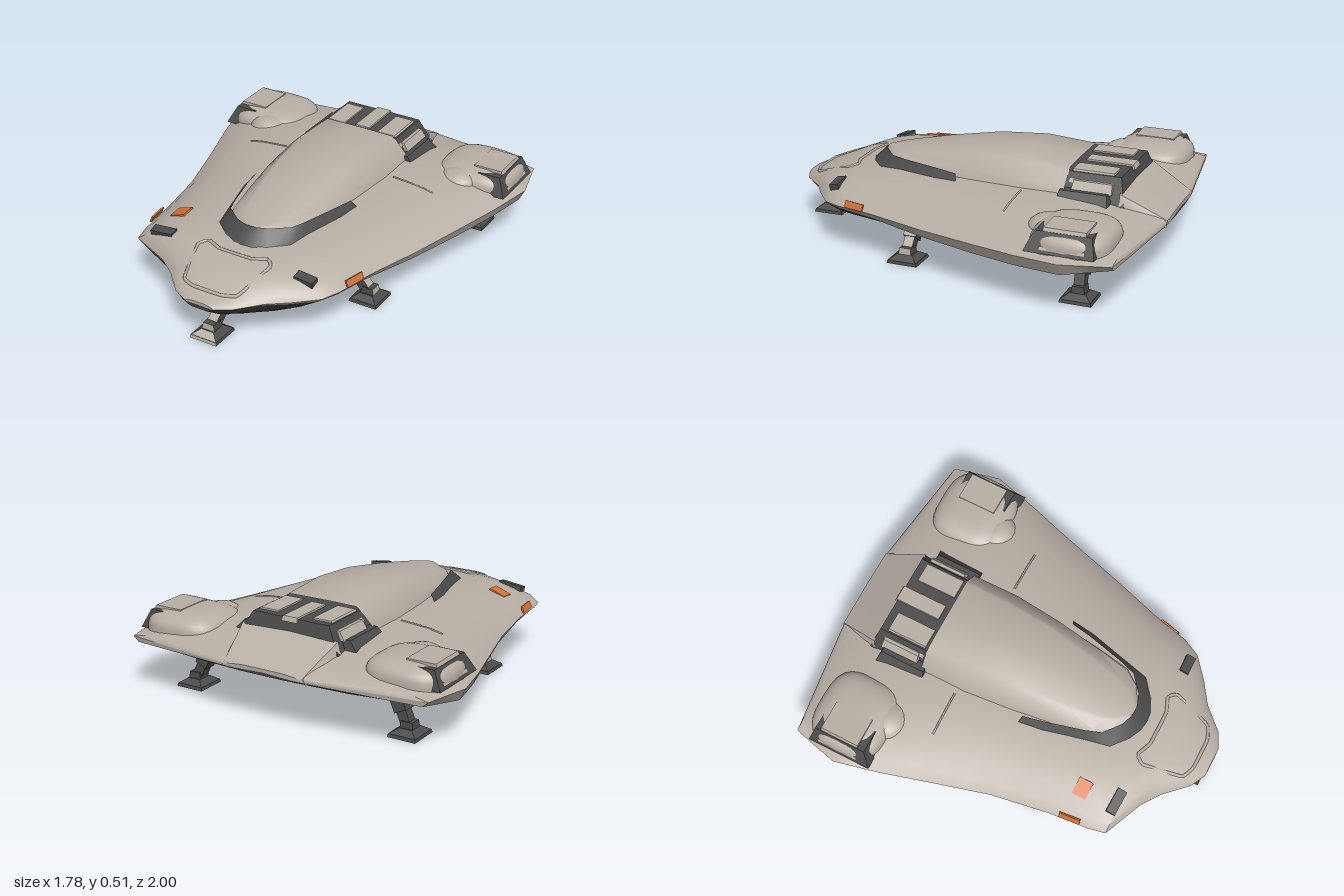
import * as THREE from 'three';
import { toCreasedNormals } from 'three/addons/utils/BufferGeometryUtils.js';

const mat = (name, color) => Object.assign(new THREE.MeshStandardMaterial({ color }), { name });
const lerp = THREE.MathUtils.lerp;

// Hull stations: z, half width +x, half width -x, belt y, deck y, keel y
const STATIONS = [
  [1.0, .08, .08, .22, .235, .2], [.96, .16, .16, .225, .25, .175], [.85, .265, .27, .23, .295, .132],
  [.78, .37, .37, .235, .32, .125], [.69, .48, .58, .24, .338, .122], [.6, .525, .6, .245, .356, .12],
  [.4, .575, .62, .25, .372, .112], [.1, .67, .67, .25, .38, .1], [-.2, .755, .755, .255, .385, .108],
  [-.45, .83, .83, .265, .385, .13], [-.68, .888, .888, .278, .37, .16], [-.82, .855, .855, .28, .345, .205],
  [-.92, .83, .83, .28, .32, .235], [-1.0, .22, .22, .28, .297, .265],
];
// Deck camber and belly depth across the half width
const CAMBER = [[0, 1], [.4, .98], [.6, .88], [.78, .65], [.92, .36], [1, 0]];
const BELLY = [[0, 1], [.5, 1], [.75, .7]];
const RIM = .965;

function sample(table, t) {
  const up = table[1][0] > table[0][0];
  for (let i = 0; i < table.length - 1; i++) {
    const a = table[i], b = table[i + 1];
    if (up ? t <= b[0] : t >= b[0]) {
      const k = THREE.MathUtils.clamp((t - a[0]) / (b[0] - a[0]), 0, 1);
      return a.map((v, j) => lerp(v, b[j], k));
    }
  }
  return table[table.length - 1];
}

function deckY(x, z) {
  const s = sample(STATIONS, z);
  return lerp(s[3], s[4], sample(CAMBER, Math.abs(x) / (x > 0 ? s[1] : s[2]))[1]);
}

// Skin through rows of points; rows run front to back, points from +x to -x
function loft(rows, crease = .6) {
  const pos = [], idx = [], n = rows[0].length;
  rows.forEach(r => r.forEach(p => pos.push(...p)));
  for (let i = 0; i < rows.length - 1; i++) for (let j = 0; j < n - 1; j++) {
    const a = i * n + j, b = a + 1, c = a + n, d = c + 1;
    idx.push(a, c, b, b, c, d);
  }
  const g = new THREE.BufferGeometry();
  g.setAttribute('position', new THREE.Float32BufferAttribute(pos, 3));
  g.setIndex(idx);
  g.computeVertexNormals();
  return toCreasedNormals(g, crease);
}

// Close both hull ends by gathering them to the belt line
function capped(rows) {
  const gather = r => r.map(() => [0, sample(STATIONS, r[0][2])[3], r[0][2]]);
  return [gather(rows[0]), ...rows, gather(rows[rows.length - 1])];
}

// Box with separate bottom and top rectangles: [x0, x1, z0, z1, y]
function frustum(bottom, top) {
  const g = new THREE.BoxGeometry(1, 1, 1), p = g.attributes.position;
  for (let i = 0; i < p.count; i++) {
    const r = p.getY(i) > 0 ? top : bottom;
    p.setXYZ(i, p.getX(i) > 0 ? r[1] : r[0], r[4], p.getZ(i) > 0 ? r[3] : r[2]);
  }
  g.computeVertexNormals();
  return g;
}
const flip = (r, s) => s > 0 ? r : [-r[1], -r[0], r[2], r[3], r[4]];

// Sphere pushed towards a rounded box
function dome(rx, ry, rz) {
  const g = new THREE.SphereGeometry(1, 32, 20), p = g.attributes.position;
  const push = v => Math.sign(v) * Math.abs(v) ** .65;
  for (let i = 0; i < p.count; i++) p.setXYZ(i, push(p.getX(i)) * rx, push(p.getY(i)) * ry, push(p.getZ(i)) * rz);
  g.computeVertexNormals();
  return g;
}

export function createModel() {
  const light = mat('hull paint', 0xb8afa5), under = mat('underside', 0x404041);
  const dark = mat('dark trim', 0x4b4b4c), orange = mat('orange marker', 0xd4723b);
  const group = new THREE.Group();
  const add = (name, geo, m, parent = group) => {
    const mesh = new THREE.Mesh(geo, m);
    mesh.name = name;
    parent.add(mesh);
    return mesh;
  };

  // Hull: deck, edge rims and dark belly
  const zs = [];
  STATIONS.forEach((s, i) => {
    zs.push(s[0]);
    const next = STATIONS[i + 1];
    if (next && s[0] - next[0] > .12) zs.push((s[0] + next[0]) / 2);
  });
  const us = CAMBER.map(c => c[0]);
  const across = [...us.slice().reverse(), ...us.slice(1).map(u => -u)];
  const deck = (s, u) => lerp(s[3], s[4], sample(CAMBER, u)[1]);
  const belly = (s, u) => lerp(s[3], s[5], sample([...BELLY, [RIM, .33 - .28 * s[0]], [1, 0]], u)[1]);
  const skin = (name, cols, f, m) => add(name, loft(capped(zs.map(z => cols.map(u => {
    const s = sample(STATIONS, z);
    return [u * (u > 0 ? s[1] : s[2]), f(s, Math.abs(u)), z];
  })))), m);
  skin('deck', across, deck, light);
  skin('belly', [-RIM, -.75, -.5, 0, .5, .75, RIM], belly, under);
  skin('leftRim', [RIM, 1], belly, light);
  skin('rightRim', [-1, -RIM], belly, light);

  // Cabin roof: z, base half width, top half width, base y, top y
  const roof = [
    [.56, .03, .015, .39, .412], [.5, .135, .07, .385, .42], [.42, .195, .1, .38, .432], [.25, .23, .135, .37, .462],
    [0, .27, .17, .36, .5], [-.25, .298, .185, .35, .515], [-.5, .3, .195, .345, .493],
  ].map(([z, w, t, y0, y1]) => {
    const half = [[w, y0], [w * .93, lerp(y0, y1, .45)], [t * .8 + w * .2, lerp(y0, y1, .88)], [t, lerp(y0, y1, .98)]];
    return [...half.map(([x, y]) => [x, y, z]), [0, y1, z], ...half.reverse().map(([x, y]) => [-x, y, z])];
  });
  add('cabinRoof', loft(roof, .7), light);

  // Windscreen band wrapped round the cabin front: outer x, y, z, inner x, y, z
  const half = [
    [.305, .374, .06, .277, .405, .07], [.29, .37, .18, .252, .412, .19], [.235, .366, .4, .203, .416, .38],
    [.205, .36, .52, .175, .419, .46], [.12, .35, .595, .09, .421, .53], [.05, .348, .625, .035, .421, .55],
    [0, .347, .63, 0, .421, .555],
  ];
  const ring = [...half, ...half.slice(0, -1).reverse().map(([a, b, c, d, e, f]) => [-a, b, c, -d, e, f])];
  add('windscreen', loft([0, 3].map(k => ring.map(r => r.slice(k, k + 3)))), dark);

  // Rear engine housing with light panels
  add('housingBase', frustum([-.36, .36, -.74, -.47, .34], [-.3, .3, -.72, -.48, .405]), dark);
  add('housing', frustum([-.285, .285, -.8, -.45, .35], [-.215, .215, -.765, -.46, .476]), dark);
  add('housingSpine', frustum([-.045, .045, -.78, -.53, .46], [-.04, .04, -.77, -.53, .484]), light);
  for (const s of [1, -1]) {
    add('housingPanel', frustum(flip([.1, .245, -.735, -.51, .43], s), flip([.1, .2, -.725, -.515, .484], s)), light);
    add('housingSidePanel', frustum(flip([.2, .278, -.735, -.53, .4], s), flip([.2, .25, -.73, -.535, .445], s)), light);
  }
  const tail = [[-.775, .27, .42], [-.86, .25, .375], [-1, .22, .3]];
  add('tailFairing', loft(tail.map(([z, w, y]) => {
    const foot = Math.min(y, deckY(.25, z)) - .02;
    return [[w + .02, foot, z], [w, y - .008, z], [0, y, z], [-w, y - .008, z], [-w - .02, foot, z]];
  })), light);

  for (const s of [1, -1]) {
    // Wing pods
    const pod = new THREE.Group();
    pod.name = s > 0 ? 'leftPod' : 'rightPod';
    group.add(pod);
    add('podBody', dome(.21, .105, .2), light, pod).position.set(s * .63, .3, -.685);
    add('podGrille', frustum(flip([.67, .845, -.84, -.5, .3], s), flip([.68, .8, -.815, -.54, .392], s)), dark, pod);
    add('podCover', frustum(flip([.64, .838, -.79, -.575, .315], s), flip([.64, .79, -.785, -.58, .408], s)), light, pod);
    const bulge = add('podNose', new THREE.SphereGeometry(1, 20, 12), light, pod);
    bulge.scale.set(.11, .065, .1);
    bulge.position.set(s * .58, .325, -.53);

    // Nose vents
    const vx = s > 0 ? .38 : -.43;
    const vent = add('noseVent', new THREE.BoxGeometry(s > 0 ? .1 : .13, .04, .05), dark);
    vent.position.set(vx, deckY(vx, .67) - .004, .67);
    vent.rotation.set(.2, 0, -s * .12);

    // Raised wing seam
    const seam = [.32, .4, .48, .55].map(x => new THREE.Vector3(s * x, deckY(s * x, -.29), -.29));
    add('wingSeam', new THREE.TubeGeometry(new THREE.CatmullRomCurve3(seam), 12, .005, 6), light);

    // Side marker plates
    const marker = add('sideMarker', new THREE.BoxGeometry(.009, .036, .11), orange);
    marker.position.set(s > 0 ? .547 : -.602, s > 0 ? .267 : .274, .5);
    marker.rotation.set(0, s > 0 ? -.24 : .1, s * .4);
  }
  const top = add('deckMarker', new THREE.BoxGeometry(.09, .009, .075), orange);
  top.position.set(-.45, deckY(-.45, .495) + .002, .495);
  top.rotation.set(.08, 0, .35);

  // Ridge round the nose hatch
  const hatch = [[.09, .69], [.17, .66], [.205, .7], [.15, .9], [.08, .93], [-.08, .93], [-.15, .9], [-.205, .7], [-.17, .66], [-.09, .69]]
    .map(([x, z]) => new THREE.Vector3(x, deckY(x, z), z));
  add('hatchRidge', new THREE.TubeGeometry(new THREE.CatmullRomCurve3(hatch, true, 'catmullrom', .1), 60, .009, 6, true), light);

  // Landing legs; one face of each may be painted (0 left, 1 right, 4 front)
  const rod = (name, a, b, r, m, parent) => {
    const p = new THREE.Vector3(...a), q = new THREE.Vector3(...b), d = q.clone().sub(p);
    const mesh = add(name, new THREE.BoxGeometry(r * 2, d.length(), r * 2), m, parent);
    mesh.position.copy(p).add(q).multiplyScalar(.5);
    mesh.quaternion.setFromUnitVectors(new THREE.Vector3(0, 1, 0), d.normalize());
  };
  const leg = (name, hip, [x, z], paintedFace) => {
    const g = new THREE.Group();
    g.name = name;
    group.add(g);
    const paint = Array.from({ length: 6 }, (_, i) => i === paintedFace ? light : dark);
    const footPaint = paintedFace === 4 ? paint : dark;
    const foot = [x, .035, z], knee = hip.map((v, i) => lerp(v, foot[i], .5));
    rod('upperStrut', knee, hip, .034, paint, g);
    rod('lowerStrut', foot, knee, .026, paint, g);
    add('footPad', frustum([x - .075, x + .075, z - .08, z + .08, 0], [x - .072, x + .072, z - .076, z + .076, .016]), footPaint, g);
    add('footTop', frustum([x - .07, x + .07, z - .074, z + .074, .016], [x - .035, x + .035, z - .04, z + .04, .04]), footPaint, g);
    add('ankle', frustum([x - .036, x + .036, z - .034, z + .034, .035], [x - .03, x + .03, z - .03, z + .03, .072]), paint, g);
  };
  leg('frontLeg', [0, .15, .76], [0, .9], 4);
  for (const s of [1, -1]) {
    leg('middleLeg', [s * .39, .16, .24], [s * .49, .24], s > 0 ? 0 : 1);
    leg('rearLeg', [s * .54, .19, -.69], [s * .61, -.7], -1);
  }
  return group;
}
